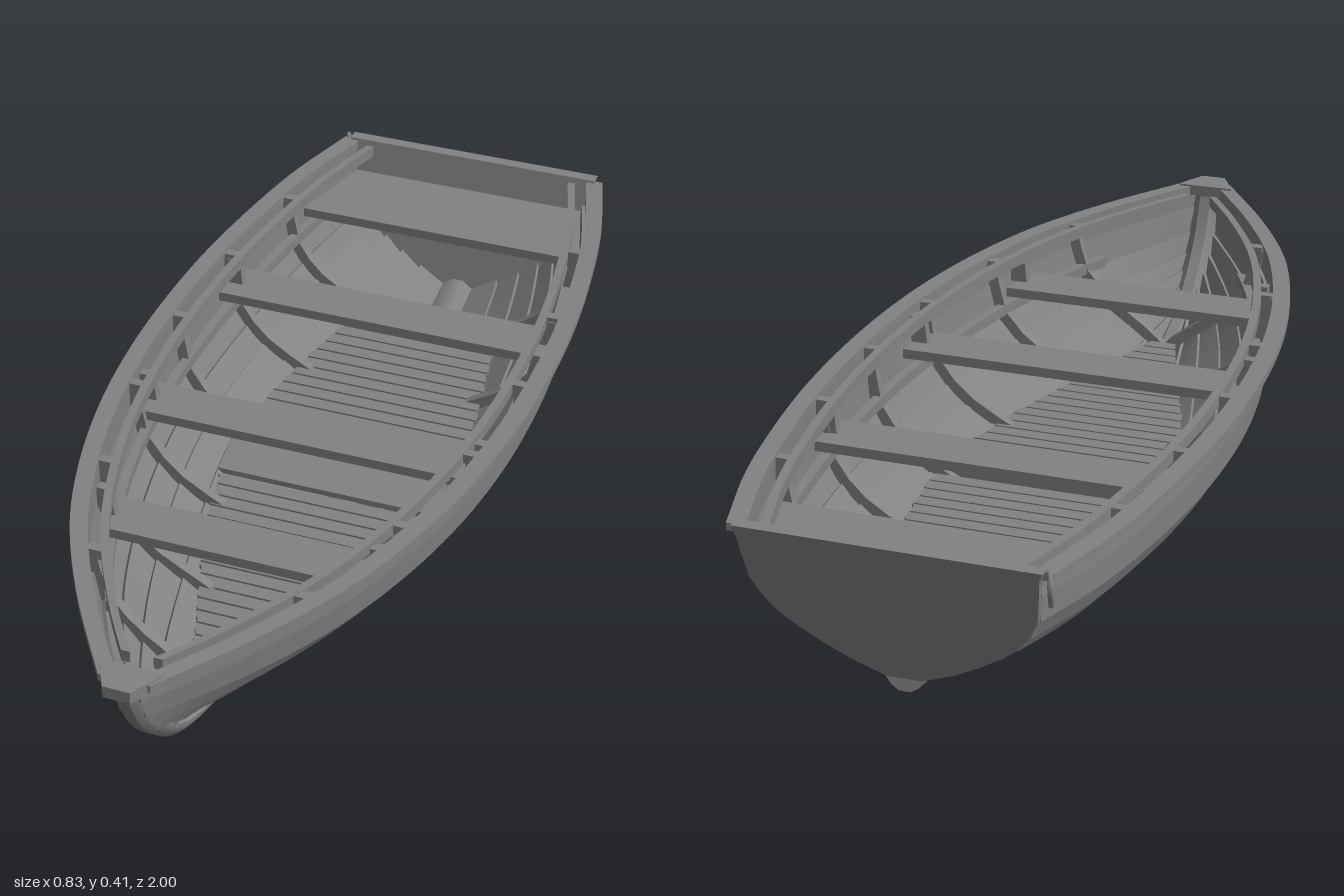
import * as THREE from 'three';
import { toCreasedNormals } from 'three/addons/utils/BufferGeometryUtils.js';

const V = (x, y, z) => new THREE.Vector3(x, y, z);
const material = new THREE.MeshStandardMaterial({ color: 0x828282, side: THREE.DoubleSide });

// Smooth curve through evenly spaced values, sampled with u in 0..1
const spline = (values) => {
  const curve = new THREE.CatmullRomCurve3(values.map((v, i) => V(i, v, 0)));
  return (u) => curve.getPoint(THREE.MathUtils.clamp(u, 0, 1)).y;
};

// Hull lines: half beam and keel height from stern (u = 0) to bow (u = 1)
const beam = spline([0.272, 0.325, 0.358, 0.379, 0.386, 0.38, 0.358, 0.316, 0.25, 0.148, 0.02]);
const keelY = spline([0.115, 0.085, 0.063, 0.045, 0.034, 0.03, 0.033, 0.045, 0.065, 0.09, 0.13]);
const SHEER = 0.385;
// Strake edges from keel to sheer: width, height and stem position
const F = [0.08, 0.3, 0.475, 0.635, 0.765, 0.868, 0.955, 0.985, 1];
const G = [0, 0.1, 0.2, 0.3, 0.395, 0.51, 0.66, 0.86, 1];
const STEM = [0.77, 0.81, 0.842, 0.868, 0.89, 0.913, 0.935, 0.957, 0.967];
const STRAKES = 8;

const at = (list, j) => {
  const i = Math.min(Math.floor(j), list.length - 2);
  return THREE.MathUtils.lerp(list[i], list[i + 1], j - i);
};

// Point on the hull at length u and strake edge j: fine at the bow, full at the stern
function hull(u, j) {
  const g = at(G, j), zs = -0.9 - 0.07 * g;
  const fine = 0.9 + 0.1 * THREE.MathUtils.smoothstep(u, 0, 0.3) + 0.8 * THREE.MathUtils.smoothstep(u, 0.4, 0.9);
  const k = keelY(u);
  return V(beam(u) * Math.pow(at(F, j), fine), k + (SHEER - k) * g, zs + (at(STEM, j) - zs) * u);
}

function hullAtZ(z, j) {
  const zs = -0.9 - 0.07 * at(G, j);
  return hull((z - zs) / (at(STEM, j) - zs), j);
}

// Inner half width of the hull at a given z and height
function halfWidth(z, y) {
  for (let j = 0; j <= STRAKES; j += 0.1) {
    const p = hullAtZ(z, j);
    if (p.y >= y) return Math.max(p.x - 0.006, 0.01);
  }
  return beam((z + 0.97) / 1.94);
}

// Solid through a series of closed rings, with capped ends
function loft(rings) {
  const centre = (r) => r.map(() => r.reduce((a, p) => a.add(p), V(0, 0, 0)).divideScalar(r.length));
  const rows = [centre(rings[0]), ...rings, centre(rings[rings.length - 1])];
  const n = rings[0].length, pos = [], index = [];
  rows.forEach((r) => r.forEach((p) => pos.push(p.x, p.y, p.z)));
  for (let i = 0; i < rows.length - 1; i++)
    for (let k = 0; k < n; k++) {
      const a = i * n + k, b = i * n + (k + 1) % n;
      index.push(a, b, a + n, b, b + n, a + n);
    }
  const g = new THREE.BufferGeometry();
  g.setAttribute('position', new THREE.Float32BufferAttribute(pos, 3));
  g.setIndex(index);
  return toCreasedNormals(g, 0.6);
}

const steps = (n, fn) => Array.from({ length: n + 1 }, (_, i) => fn(i / n));

export function createModel() {
  const boat = new THREE.Group();
  boat.name = 'rowingBoat';
  const add = (name, geometry) => {
    const m = new THREE.Mesh(geometry, material);
    m.name = name;
    boat.add(m);
  };
  // Same part on both sides, mirrored in x
  const pair = (name, rings) => {
    for (const s of [1, -1])
      add((s > 0 ? 'left' : 'right') + name, loft(rings.map((r) => r.map((p) => V(p.x * s, p.y, p.z)))));
  };
  // Flat board across the hull, fitted to its sides
  const board = (name, z0, z1, y, thick, inset = 0) => add(name, loft(steps(4, (t) => {
    const z = z0 + (z1 - z0) * t, w = Math.max(halfWidth(z, y - thick) - inset, 0.02);
    return [V(-w, y - thick, z), V(w, y - thick, z), V(w, y, z), V(-w, y, z)];
  })));
  // Rail running along the hull beside strake edge j
  const rail = (name, j, x0, x1, y0, y1, u0, u1) => pair(name, steps(48, (t) => {
    const p = hull(u0 + (u1 - u0) * t, j);
    const a = Math.max(p.x + x0, 0), b = Math.max(p.x + x1, 0.002);
    return [V(a, p.y + y0, p.z), V(b, p.y + y0, p.z), V(b, p.y + y1, p.z), V(a, p.y + y1, p.z)];
  }));

  // Overlapping planks
  for (let j = 0; j < STRAKES; j++)
    pair('Strake' + (j + 1), steps(48, (u) => {
      const p = hull(u, j), q = hull(u, j + 1);
      const n = V(q.y - p.y, p.x - q.x, 0).normalize().multiplyScalar(0.008);
      return [p.clone().add(n), q.clone(), q.clone().sub(n), p.clone()];
    }));

  // Keel sweeping up into the stem, rounded outside and tapered inside
  const path = new THREE.CatmullRomCurve3([
    [-0.91, 0.088], [-0.7, 0.05], [-0.45, 0.018], [-0.15, 0], [0.15, 0.012], [0.4, 0.042], [0.6, 0.075],
    [0.72, 0.106], [0.8, 0.142], [0.88, 0.21], [0.93, 0.27], [0.965, 0.335], [0.985, 0.385],
  ].map(([z, y]) => V(0, y, z)));
  add('keelAndStem', loft(steps(60, (t) => {
    const p = path.getPoint(t), d = path.getTangent(t);
    const w = 0.036 - 0.008 * t;
    const half = [[0.011, 0], [w * 0.72, 0.009], [w, 0.022], [w, 0.03], [0.012, 0.045]];
    const q = ([x, inward]) => V(x, p.y + d.z * inward, p.z - d.y * inward);
    return [...half.map(q), ...half.reverse().map(([x, inward]) => q([-x, inward]))];
  })));

  // Raked transom
  const transom = steps(STRAKES, (t) => hull(0, t * STRAKES));
  transom.push(V(transom[STRAKES].x + 0.008, 0.405, -0.975));
  add('transom', loft(transom.map((p) => [
    V(-p.x - 0.006, p.y, p.z - 0.012), V(p.x + 0.006, p.y, p.z - 0.012),
    V(p.x + 0.006, p.y, p.z + 0.014), V(-p.x - 0.006, p.y, p.z + 0.014),
  ])));

  // Gunwales, inner rails and the risers that carry the seats
  rail('Gunwale', STRAKES, -0.008, 0.029, 0, 0.015, 0, 1);
  rail('Inwale', STRAKES, -0.05, -0.033, -0.012, 0.012, 0.01, 0.96);
  rail('Riser', 6.1, -0.028, -0.009, 0, 0.022, 0.01, 0.86);

  // Cap joining the gunwales at the bow
  add('breasthook', loft([[0.932, 0.06], [0.945, 0.056], [1, 0.026]].map(([z, w]) =>
    [V(-w, 0.38, z), V(w, 0.38, z), V(w, 0.404, z), V(-w, 0.404, z)])));

  // Curved ribs, reaching up to the inner rail
  for (let i = 0; i < 6; i++) {
    const z = -0.68 + i * 0.262;
    pair('Rib' + (i + 1), steps(16, (t) => {
      const j = t * STRAKES, p = hullAtZ(z, j);
      const e = hullAtZ(z, Math.min(j + 0.1, STRAKES)), d = hullAtZ(z, Math.max(j - 0.1, 0));
      const n = V(e.y - d.y, d.x - e.x, 0).normalize();
      const q = (depth, dz) => V(Math.max(p.x - n.x * depth, 0), p.y - n.y * depth, z + dz);
      return [q(0.004, -0.01), q(0.004, 0.01), q(0.027, 0.01), q(0.027, -0.01)];
    }));
    // Spacer between gunwale and inner rail
    const s = hullAtZ(z, STRAKES);
    const inner = s.x - 0.04, outer = s.x - 0.008;
    pair('Spacer' + (i + 1), [-0.01, 0.01].map((dz) => [
      V(inner, 0.375, z + dz), V(outer, 0.375, z + dz), V(outer, 0.395, z + dz), V(inner, 0.395, z + dz)]));
  }

  // Seats
  board('sternSeat', -0.955, -0.74, 0.335, 0.02);
  [[-0.47, -0.36, 0], [0, 0.105, 0], [0.385, 0.49, 0.015]].forEach(([z0, z1, inset], i) => {
    board('thwart' + (i + 1), z0, z1, 0.328, 0.02, inset);
    // Knees tying the seat ends to the rails
    const zc = (z0 + z1) / 2, w = halfWidth(zc, 0.33);
    pair('Knee' + (i + 1), [-0.01, 0.01].map((dz) => [
      V(w, 0.328, zc + dz), V(w - 0.035, 0.328, zc + dz), V(w - 0.03, 0.385, zc + dz), V(w, 0.385, zc + dz)]));
  });

  // Slatted floor with a solid panel amidships
  for (let z = -0.74, i = 1; z < 0.6; z += 0.036, i++)
    if (z < -0.18 || z > -0.01) board('floorSlat' + i, z, z + 0.031, 0.145, 0.012, 0.002);
  board('floorPanel', -0.15, 0, 0.147, 0.012);

  // Small hook on the right corner of the transom
  add('sternHook', new THREE.TubeGeometry(new THREE.CatmullRomCurve3([
    V(-0.29, 0.398, -0.965), V(-0.3, 0.398, -0.985), V(-0.302, 0.385, -0.992), V(-0.3, 0.345, -0.98)]), 12, 0.006, 6));

  return boat;
}
